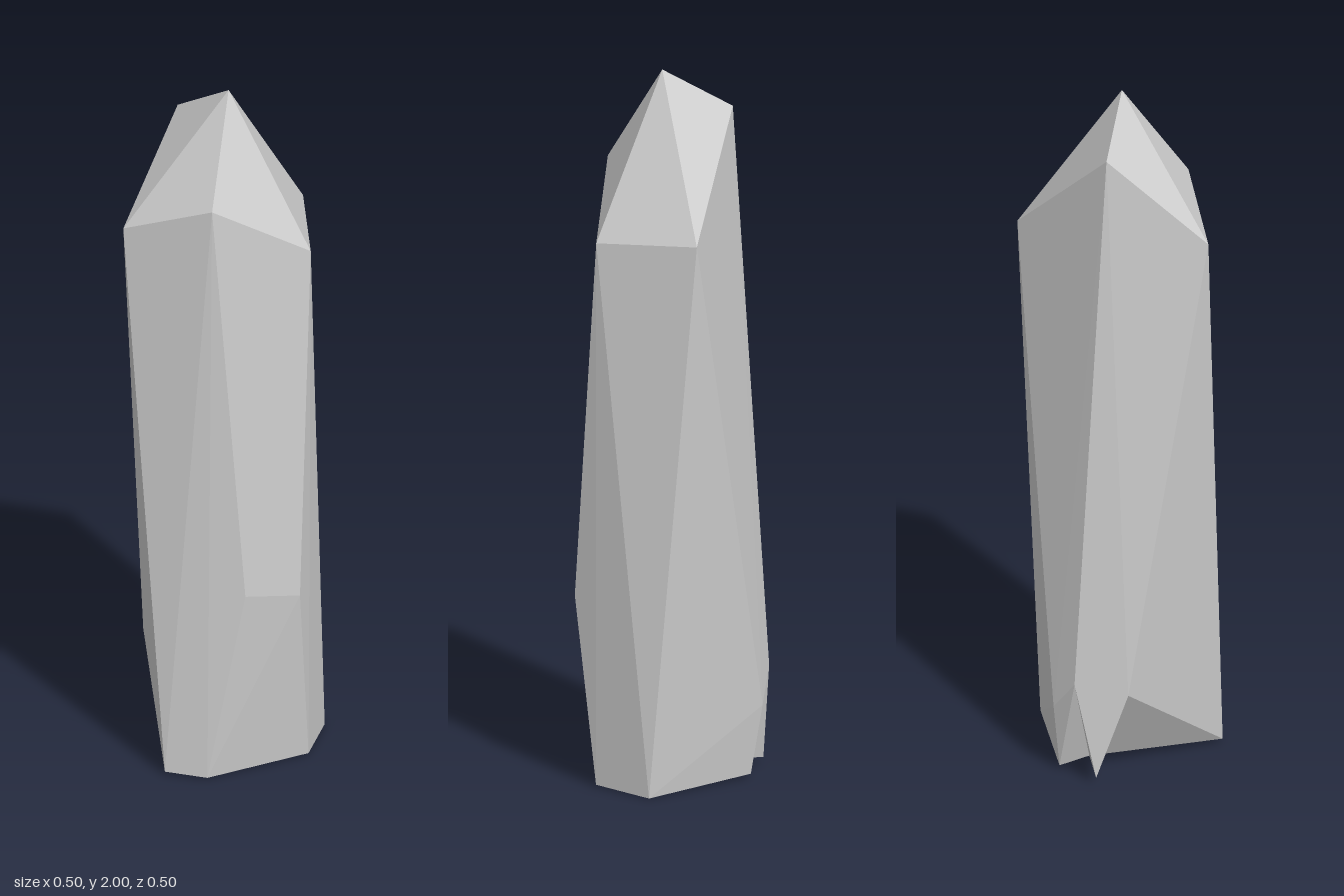
import * as THREE from 'three';

// Corner points of the crystal
const P = {
  tip: [0.01, 2, 0],
  // shoulder ring under the tip
  s1: [0.01, 1.72, 0.195], s2: [0.25, 1.55, 0.035], s3: [0.16, 1.57, -0.25],
  s4: [-0.16, 1.88, -0.11], s5: [-0.25, 1.62, 0.155],
  // chipped facet at the front right
  c: [0.11, 0.56, 0.22], k: [0.24, 0.53, 0.12],
  // foot rim
  a: [-0.11, 0.01, 0.25], b: [0.01, 0.005, 0.25], e: [0.245, 0.005, 0.04],
  f: [0.245, 0, -0.15], g: [-0.1, 0.01, -0.225], h: [-0.225, 0.02, -0.165],
  // break line and cleft at the back left
  j: [-0.12, 0.206, -0.25], i: [-0.19, 0.3, -0.215], d: [-0.25, 0.27, -0.08],
  n: [-0.12, 0.035, -0.145],
};

// Facets, corners counter-clockwise seen from outside
const FACETS = {
  crystalTip: ['s1 s2 tip', 's2 s3 tip', 's3 s4 tip', 's4 s5 tip', 's5 s1 tip'],
  crystalShaft: [
    's5 a s1', 'a b s1', 'b c s1', 'c k s2 s1', 'b e k c', 'k e s2', 'e f s2',
    'f s3 s2', 'f g j s3', 'j i s4 s3', 'j g i', 's4 i h d s5', 's5 d a',
  ],
  brokenBase: ['i g n', 'i n h', 'd h n', 'a d n', 'a n b', 'n f b', 'n g f', 'b f e'],
};

// Fan each facet into separate triangles so every facet stays flat
function facetGeometry(facets) {
  const points = [];
  for (const facet of facets) {
    const corners = facet.split(' ').map((key) => P[key]);
    for (let t = 1; t < corners.length - 1; t++) {
      points.push(...corners[0], ...corners[t], ...corners[t + 1]);
    }
  }
  const geometry = new THREE.BufferGeometry();
  geometry.setAttribute('position', new THREE.Float32BufferAttribute(points, 3));
  geometry.computeVertexNormals();
  return geometry;
}

export function createModel() {
  const model = new THREE.Group();
  model.name = 'crystal';
  const material = new THREE.MeshStandardMaterial({ color: 0xcccccc, flatShading: true });
  for (const [name, facets] of Object.entries(FACETS)) {
    const mesh = new THREE.Mesh(facetGeometry(facets), material);
    mesh.name = name;
    model.add(mesh);
  }
  return model;
}
